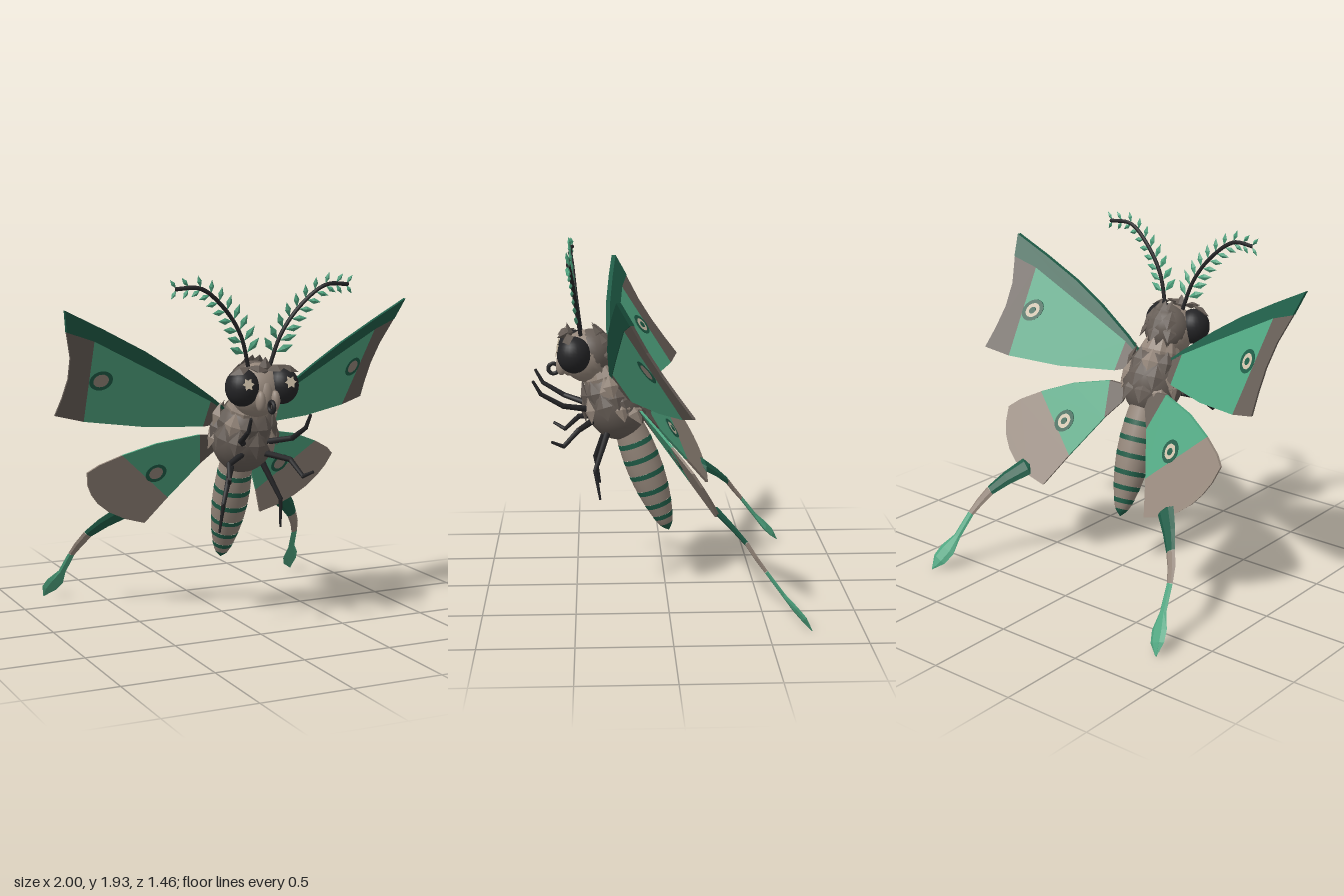
import * as THREE from 'three';

const V = (x, y, z) => new THREE.Vector3(x, y, z);
const mat = (name, color) => {
  const m = new THREE.MeshStandardMaterial({ color });
  m.name = name;
  return m;
};

export function createModel() {
  const green = mat('light green', 0x4fa580);
  const dark = mat('dark green', 0x1f5c47);
  const taupe = mat('taupe', 0x94867a);
  const umber = mat('dark taupe', 0x665d56);
  const black = mat('black', 0x242426);
  const cream = mat('cream', 0xcdbfa8);
  const model = new THREE.Group();
  model.name = 'moth';

  const add = (name, geo, m, parent = model) => {
    const mesh = new THREE.Mesh(geo, m);
    mesh.name = name;
    parent.add(mesh);
    return mesh;
  };
  const ball = (name, m, p, r, parent) => {
    const b = add(name, new THREE.SphereGeometry(1, 24, 16), m, parent);
    b.position.copy(p);
    b.scale.copy(r);
    return b;
  };
  // Faceted diamond pointing along dir, thin along face
  const leaf = (name, m, p, dir, face, len, wid, thick, parent) => {
    const y = dir.clone().normalize();
    const z = face.clone().addScaledVector(y, -face.dot(y)).normalize();
    const o = add(name, new THREE.OctahedronGeometry(1), m, parent);
    o.position.copy(p);
    o.quaternion.setFromRotationMatrix(new THREE.Matrix4().makeBasis(y.clone().cross(z), y, z));
    o.scale.set(wid / 2, len / 2, thick / 2);
    return o;
  };
  const limb = (name, pts, r0, r1) => {
    for (let i = 0; i < pts.length - 1; i++) {
      const n = pts.length - 1, d = pts[i + 1].clone().sub(pts[i]);
      const ra = r0 + (r1 - r0) * i / n, rb = r0 + (r1 - r0) * (i + 1) / n;
      const c = add(name, new THREE.CylinderGeometry(rb, ra, d.length() + 0.01, 8), black);
      c.position.copy(pts[i]).addScaledVector(d, 0.5);
      c.quaternion.setFromUnitVectors(V(0, 1, 0), d.normalize());
    }
  };

  // Thin plate outlined in x,y and laid onto the slanted plane z = a + bx + cy
  const plate = (name, m, shape, [a, b, c], s, z0, depth) => {
    const g = new THREE.ExtrudeGeometry(shape, { depth, bevelEnabled: false, curveSegments: 16 });
    const p = g.attributes.position;
    for (let i = 0; i < p.count; i++) p.setZ(i, p.getZ(i) + z0 + a + b * s * p.getX(i) + c * p.getY(i));
    g.computeVertexNormals();
    return add(name, g, m);
  };
  const poly = (pts, s) => new THREE.Shape(pts.map(([x, y]) => new THREE.Vector2(x * s, y)));
  const disc = (x, y, r, hole) => {
    const sh = new THREE.Shape().absarc(x, y, r, 0, Math.PI * 2);
    if (hole) sh.holes.push(new THREE.Path().absarc(x, y, hole, 0, Math.PI * 2, true));
    return sh;
  };
  const eyespot = (name, x, y, plane, s) => {
    for (const z of [0.008, -0.012]) {
      plate(name + 'Ring', dark, disc(x * s, y, 0.055, 0.036), plane, s, z, 0.004);
      plate(name + 'Fill', z > 0 ? taupe : cream, disc(x * s, y, 0.037), plane, s, z, 0.004);
    }
    plate(name + 'Pupil', dark, disc(x * s, y, 0.017), plane, s, -0.015, 0.004);
  };

  const forePlane = [-0.473, -0.45, 0.678], hindPlane = [-0.518, -0.2, 0.666];
  const foreParts = [
    ['forewingLeadingBand', dark, [[0.12, 1.21], [0.2, 1.275], [0.4, 1.42], [0.58, 1.535], [0.8, 1.655], [1, 1.757],
      [0.97, 1.64], [0.83, 1.59], [0.42, 1.37], [0.2, 1.25], [0.12, 1.195]], 0.024],
    ['forewingOuterBand', umber, [[0.97, 1.64], [0.925, 1.5], [0.912, 1.38], [0.92, 1.27], [0.936, 1.165], [0.79, 1.13], [0.83, 1.59]], 0.016],
    ['forewingPanel', green, [[0.83, 1.59], [0.42, 1.37], [0.2, 1.25], [0.2, 1.1], [0.5, 1.1], [0.79, 1.13]], 0.016],
    ['forewingRoot', umber, [[0.2, 1.25], [0.1, 1.19], [0.08, 1.13], [0.2, 1.1]], 0.016],
  ];
  const hindParts = [
    ['hindwingPanel', green, [[0.2, 1.05], [0.42, 1.005], [0.59, 0.94], [0.275, 0.66], [0.15, 0.87]], 0.016],
    ['hindwingOuterBand', taupe, [[0.59, 0.94], [0.7, 0.885], [0.755, 0.84], [0.735, 0.76], [0.7, 0.695], [0.65, 0.635],
      [0.58, 0.58], [0.48, 0.53], [0.364, 0.497], [0.275, 0.66]], 0.016],
    ['hindwingRoot', umber, [[0.2, 1.05], [0.08, 1.04], [0.08, 0.96], [0.15, 0.87]], 0.016],
  ];

  // Flat twisted ribbon through stations [x, y, z, halfWidth]
  const ribbon = (name, m, st, s) => {
    const pos = [], idx = [], K = 6, pts = st.map(q => V(q[0] * s, q[1], q[2]));
    pts.forEach((p, i) => {
      const t = pts[Math.min(i + 1, pts.length - 1)].clone().sub(pts[Math.max(i - 1, 0)]).normalize();
      const n = V(0.2 * s, -0.666, 1);
      n.addScaledVector(t, -n.dot(t)).normalize();
      const w = n.clone().cross(t), h = st[i][3];
      for (let j = 0; j < K; j++) {
        const a = j / K * Math.PI * 2;
        const q = p.clone().addScaledVector(w, h * Math.cos(a)).addScaledVector(n, Math.min(h, 0.006 + h * 0.2) * Math.sin(a));
        pos.push(q.x, q.y, q.z);
        if (i) {
          const A = (i - 1) * K + j, B = (i - 1) * K + (j + 1) % K;
          idx.push(A, B, A + K, B, B + K, A + K);
        }
      }
    });
    const g = new THREE.BufferGeometry();
    g.setAttribute('position', new THREE.Float32BufferAttribute(pos, 3));
    g.setIndex(idx);
    const flat = g.toNonIndexed();
    flat.computeVertexNormals();
    add(name, flat, m);
  };

  for (const s of [1, -1]) {
    // Wings
    for (const [n, m, pts, d] of foreParts) plate(n, m, poly(pts, s), forePlane, s, -d / 2, d);
    for (const [n, m, pts, d] of hindParts) plate(n, m, poly(pts, s), hindPlane, s, -d / 2, d);
    eyespot('forewingSpot', 0.755, 1.37, forePlane, s);
    eyespot('hindwingSpot', 0.38, 0.82, hindPlane, s);

    // Wing tails
    ribbon('tailBase', dark, [[0.49, 0.58, -0.235, 0.002], [0.5, 0.57, -0.25, 0.055], [0.585, 0.5, -0.33, 0.042], [0.65, 0.43, -0.4, 0.03]], s);
    ribbon('tailMiddle', taupe, [[0.65, 0.43, -0.4, 0.03], [0.69, 0.365, -0.445, 0.026], [0.718, 0.3, -0.495, 0.02]], s);
    ribbon('tailPaddle', green, [[0.718, 0.3, -0.495, 0.02], [0.745, 0.18, -0.585, 0.022], [0.768, 0.11, -0.645, 0.05],
      [0.79, 0.06, -0.69, 0.045], [0.812, 0.005, -0.73, 0.002]], s);

    // Legs
    limb('frontLeg', [V(0.06 * s, 1.03, 0.4), V(0.15 * s, 1.07, 0.56), V(0.165 * s, 1.14, 0.68), V(0.17 * s, 1.21, 0.72)], 0.018, 0.008);
    limb('middleLeg', [V(0.07 * s, 0.97, 0.4), V(0.18 * s, 0.94, 0.48), V(0.215 * s, 0.86, 0.56), V(0.24 * s, 0.89, 0.62)], 0.018, 0.008);
    limb('hindLeg', [V(0.09 * s, 0.91, 0.32), V(0.17 * s, 0.71, 0.39), V(0.182 * s, 0.555, 0.365)], 0.018, 0.006);

    // Feathered antennae
    const curve = new THREE.CatmullRomCurve3([V(0.055 * s, 1.42, 0.46), V(0.12 * s, 1.62, 0.487), V(0.23 * s, 1.77, 0.505),
      V(0.36 * s, 1.865, 0.52), V(0.5 * s, 1.865, 0.51)]);
    add('antenna', new THREE.TubeGeometry(curve, 28, 0.011, 8), black);
    for (let i = 0; i < 10; i++) {
      const u = 0.14 + 0.84 * i / 9, p = curve.getPointAt(u), t = curve.getTangentAt(u);
      const len = 0.1 - 0.045 * i / 9;
      for (const k of [1, -1]) {
        const d = V(-t.y * k, t.x * k, 0.15).multiplyScalar(0.8).addScaledVector(t, 0.6).normalize();
        leaf('antennaLeaflet', green, p.clone().addScaledVector(d, len * 0.62), d, V(0, 0, 1), len, len * 0.42, 0.02);
      }
    }

    // Eyes with star glints
    ball('eye', black, V(0.115 * s, 1.345, 0.5), V(0.09, 0.1, 0.092));
    const star = new THREE.Shape(Array.from({ length: 12 }, (_, i) => {
      const r = i % 2 ? 0.02 : 0.034, a = i * Math.PI / 6;
      return new THREE.Vector2(r * Math.cos(a), r * Math.sin(a));
    }));
    const glint = add('eyeGlint', new THREE.ExtrudeGeometry(star, { depth: 0.006, bevelEnabled: false }), cream);
    glint.position.set(0.122 * s, 1.37, 0.588);
    glint.rotation.x = -0.22;

    // Brows, palps and shoulder tufts
    leaf('brow', umber, V(0.055 * s, 1.445, 0.56), V(s, 0.2, -0.1), V(0, 1, 0.5), 0.13, 0.07, 0.04);
    leaf('brow', umber, V(0.14 * s, 1.435, 0.53), V(s, -0.35, -0.1), V(0, 1, 0.5), 0.13, 0.07, 0.04);
    ball('palp', taupe, V(0.042 * s, 1.275, 0.57), V(0.026, 0.055, 0.03));
    for (let i = 0; i < 3; i++)
      leaf('shoulderTuft', i % 2 ? umber : taupe, V(0.17 * s, 1.18 - 0.065 * i, 0.3 - 0.03 * i), V(0.25 * s, -1, -0.2), V(s, 0, 0), 0.14, 0.09, 0.05);
  }

  // Head, cap and crest
  ball('head', taupe, V(0, 1.32, 0.43), V(0.14, 0.145, 0.14));
  ball('headCap', umber, V(0, 1.335, 0.405), V(0.135, 0.135, 0.125));
  leaf('crest', umber, V(0, 1.45, 0.53), V(0, 1, 0.15), V(0, 0, 1), 0.11, 0.08, 0.05);
  for (let r = 0; r < 3; r++)
    for (let i = -1; i <= 1; i++) {
      const lat = 1.1 - r * 0.5, lon = i * 0.7;
      const n = V(Math.sin(lon) * Math.cos(lat), Math.sin(lat), -Math.cos(lon) * Math.cos(lat));
      leaf('headScale', umber, V(0, 1.33, 0.415).addScaledVector(n, 0.138), V(n.x * 0.3, -0.8, -0.6), n, 0.12, 0.08, 0.03);
    }
  ball('face', taupe, V(0, 1.3, 0.53), V(0.045, 0.09, 0.05));

  // Coiled proboscis
  const coil = add('proboscis', new THREE.TorusGeometry(0.028, 0.011, 8, 20), black);
  coil.position.set(0, 1.25, 0.615);
  coil.rotation.y = Math.PI / 2;

  // Thorax with overlapping scales
  const thorax = new THREE.Group();
  thorax.name = 'thorax';
  thorax.position.set(0, 1.055, 0.28);
  thorax.rotation.x = 0.35;
  model.add(thorax);
  const R = V(0.175, 0.21, 0.17);
  ball('thoraxCore', umber, V(0, 0, 0), R, thorax);
  for (let r = 0; r < 4; r++)
    for (let i = 0; i < 10; i++) {
      const lat = 0.95 - r * 0.42, lon = (i + (r % 2) / 2) / 10 * Math.PI * 2;
      const n = V(Math.sin(lon) * Math.cos(lat), Math.sin(lat), Math.cos(lon) * Math.cos(lat));
      if (r === 3 && n.z > -0.2) continue;
      const p = n.clone().multiply(R);
      leaf('thoraxScale', r === 0 || (i + r) % 3 === 0 ? taupe : umber, p, V(n.x * 0.25, -1, n.z * 0.25), n, 0.15, 0.1, 0.04, thorax);
    }

  // Banded abdomen: lathe slices along one tapering profile
  const abdomen = new THREE.Group();
  abdomen.name = 'abdomen';
  abdomen.position.set(0, 0.92, 0.2);
  abdomen.rotation.x = 0.352;
  model.add(abdomen);
  const prof = new THREE.CatmullRomCurve3([V(0.085, 0, 0), V(0.098, 0.13, 0), V(0.1, 0.26, 0), V(0.09, 0.38, 0),
    V(0.068, 0.5, 0), V(0.036, 0.6, 0), V(0.001, 0.64, 0)]);
  const slice = (name, u0, u1, m, grow) => {
    const pts = [];
    for (let i = 6; i >= 0; i--) {
      const q = prof.getPointAt(u0 + (u1 - u0) * i / 6);
      pts.push(new THREE.Vector2(q.x + grow, -q.y));
    }
    add(name, new THREE.LatheGeometry(pts, 20), m, abdomen);
  };
  const bands = [0.12, 0.26, 0.405, 0.555, 0.69, 0.81];
  let u = 0;
  for (const b of bands) {
    slice('abdomenSegment', u, b, taupe, 0);
    slice('abdomenBand', b, b + 0.042, dark, 0.001);
    u = b + 0.042;
  }
  slice('abdomenSegment', u, 0.91, taupe, 0);
  slice('abdomenTip', 0.91, 1, dark, 0);

  return model;
}
